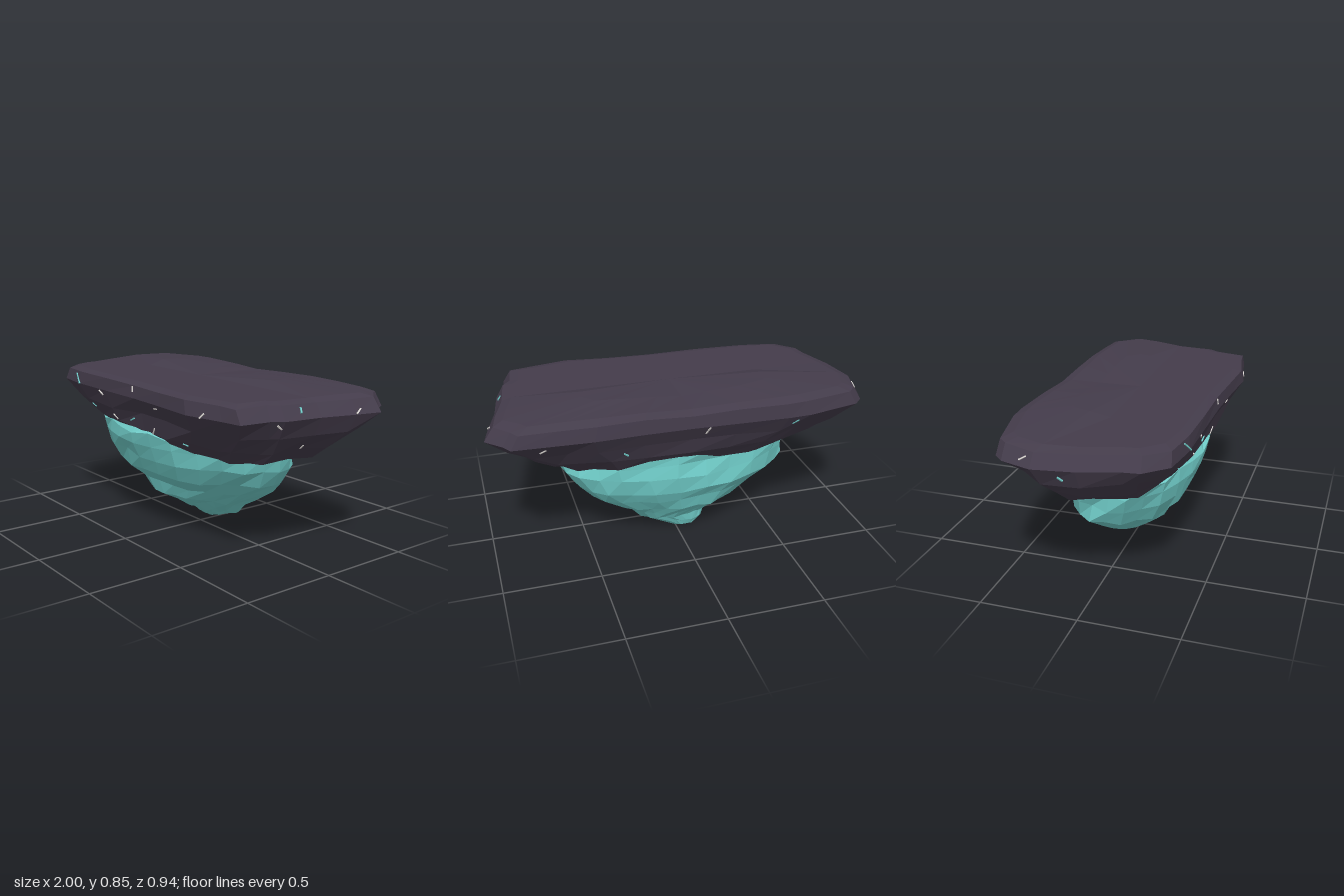
import * as THREE from 'three';

const rock = new THREE.MeshStandardMaterial({ color: 0x443c4b, flatShading: true });
rock.name = 'darkStone';
const crystal = new THREE.MeshStandardMaterial({ color: 0x72d0cc, flatShading: true });
crystal.name = 'tealCrystal';
const pale = new THREE.MeshStandardMaterial({ color: 0xd8d4d0, flatShading: true });
pale.name = 'paleMineral';

// repeatable noise in -1..1
function noise(a, b) {
  const s = Math.sin(a * 127.1 + b * 311.7) * 43758.5453;
  return (s - Math.floor(s)) * 2 - 1;
}

// joins closed rings (listed from top to bottom) and caps both ends
function loft(rings, topPoint, bottomPoint) {
  const n = rings[0].length, pos = [], idx = [];
  rings.forEach(r => r.forEach(p => pos.push(p.x, p.y, p.z)));
  const top = rings.length * n, last = top - n;
  pos.push(...topPoint, ...bottomPoint);
  for (let i = 0; i < n; i++) {
    const j = (i + 1) % n;
    for (let k = 0; k < rings.length - 1; k++) {
      const a = k * n + i, b = k * n + j;
      idx.push(a, b, b + n, a, b + n, a + n);
    }
    idx.push(top, j, i, top + 1, last + i, last + j);
  }
  const g = new THREE.BufferGeometry();
  g.setAttribute('position', new THREE.Float32BufferAttribute(pos, 3));
  g.setIndex(idx);
  const flat = g.toNonIndexed();
  flat.computeVertexNormals();
  return flat;
}

// slab outline at its widest, x and z, starting at the back left corner
const outline = [
  [-0.9, -0.41], [-0.62, -0.47], [-0.5, -0.475], [-0.25, -0.465], [0, -0.455], [0.25, -0.453],
  [0.5, -0.46], [0.7, -0.45], [0.89, -0.44], [0.92, -0.39], [1, -0.31], [0.97, -0.18],
  [0.92, 0], [0.89, 0.2], [0.85, 0.25], [0.83, 0.41], [0.72, 0.425], [0.5, 0.467],
  [0.25, 0.445], [0, 0.43], [-0.3, 0.425], [-0.6, 0.42], [-0.8, 0.39], [-0.9, 0.28],
  [-0.91, 0.2], [-0.97, 0], [-1, -0.2], [-0.95, -0.36]
];
// height, x scale, z scale, roughness, swell of the rear half, rounding of the corners
const slabLevels = [
  [0.825, 0.5, 0.5, 0, 0.026, 0], [0.825, 0.9, 0.87, 0, 0.014, 0],
  [0.812, 0.955, 0.985, 0.003, 0.008, 0], [0.745, 1, 1, 0, 0, 0],
  [0.655, 0.945, 0.91, 0.01, 0, 0.07], [0.565, 0.86, 0.82, 0.012, 0, 0.14],
  [0.495, 0.76, 0.68, 0.012, 0, 0.18], [0.5, 0.45, 0.4, 0.01, 0, 0.15]
];

function slabRings() {
  return slabLevels.map(([y, sx, sz, r, swell, round], k) => outline.map(([x, z], i) => {
    const rise = z < -0.1 ? swell * Math.abs(Math.sin(x * sx * Math.PI)) : 0;
    const corner = 1 - round * Math.max(0, Math.abs(x * z) / 0.37 - 0.45) / 0.55;
    return new THREE.Vector3(
      x * sx * corner + r * noise(i, k), y + rise + r * noise(i + 40, k),
      z * sz * corner + r * noise(i + 80, k));
  }));
}

// height, xmin, xmax, zmin, zmax of the hanging crystal
const crystalLevels = [
  [0.61, -0.58, 0.54, -0.335, 0.34], [0.55, -0.68, 0.62, -0.35, 0.38],
  [0.49, -0.69, 0.63, -0.35, 0.37], [0.41, -0.67, 0.61, -0.355, 0.335],
  [0.32, -0.65, 0.55, -0.335, 0.3], [0.25, -0.53, 0.46, -0.305, 0.21],
  [0.18, -0.41, 0.32, -0.275, 0.19], [0.14, -0.31, 0.26, -0.23, 0.12],
  [0.085, -0.19, 0.2, -0.195, 0.03], [0.045, -0.17, 0.1, -0.182, -0.03],
  [0.01, -0.12, 0.02, -0.17, -0.08]
];

function crystalRings() {
  const n = 26;
  return crystalLevels.map(([y, x0, x1, z0, z1], k) => {
    // slightly skewed ellipse with lumps
    const lumpy = Array.from({ length: n }, (_, i) => {
      const a = i / n * Math.PI * 2;
      const r = 1 + 0.03 * noise(i, k + 9) + 0.02 * Math.sin(a * 5 + k * 0.7);
      const lift = y > 0.02 ? 0.012 * noise(i + 30, k) : 0.004 * noise(i, 3);
      return new THREE.Vector3(
        Math.cos(a) * r, y + lift, (Math.sin(a) - 0.1 * Math.cos(a)) * r);
    });
    // fit the loop exactly between its limits
    const { min, max } = new THREE.Box3().setFromPoints(lumpy);
    return lumpy.map(p => new THREE.Vector3(
      THREE.MathUtils.mapLinear(p.x, min.x, max.x, x0, x1), p.y,
      THREE.MathUtils.mapLinear(p.z, min.z, max.z, z0, z1)));
  });
}

// small mineral vein lying on one facet of the slab
function vein(rings, k, i, u, v, length, slant, material) {
  const j = (i + 1) % outline.length;
  const [a, b, c, d] = [rings[k][i], rings[k][j], rings[k + 1][j], rings[k + 1][i]];
  const p = a.clone().lerp(b, u).lerp(d.clone().lerp(c, u), v);
  const out = b.clone().sub(a).cross(d.clone().sub(a)).normalize();
  const across = b.clone().sub(a).normalize();
  const along = across.clone().addScaledVector(out.clone().cross(across), slant).normalize();
  const mesh = new THREE.Mesh(new THREE.BoxGeometry(length, 0.007, 0.009), material);
  mesh.quaternion.setFromRotationMatrix(
    new THREE.Matrix4().makeBasis(along, out.clone().cross(along), out));
  mesh.position.copy(p);
  mesh.name = 'mineralVein';
  return mesh;
}

export function createModel() {
  const group = new THREE.Group();
  group.name = 'floatingRock';

  const rings = slabRings();
  const slab = new THREE.Mesh(loft(rings, [0, 0.827, 0], [0, 0.5, 0]), rock);
  slab.name = 'stoneSlab';

  const base = new THREE.Mesh(loft(crystalRings(), [0, 0.61, 0], [-0.05, 0, -0.11]), crystal);
  base.name = 'hangingCrystal';
  group.add(slab, base);

  // veins: level, facet, position across and down, length, slant, colour
  const veins = new THREE.Group();
  veins.name = 'mineralVeins';
  [
    [2, 21, 0.1, 0.6, 0.08, -0.9, crystal], [4, 21, 0.05, 0.4, 0.035, -0.8, crystal],
    [3, 20, 0.18, 0.2, 0.04, -0.7, pale], [4, 20, 0.05, 0.7, 0.04, -0.7, pale],
    [4, 19, 0.37, 0.5, 0.04, 0.4, crystal], [2, 19, 0.07, 0.3, 0.03, -5, pale],
    [4, 18, 0.54, 0.8, 0.045, 1.2, pale], [3, 18, 0.2, 0.28, 0.03, 0.2, pale],
    [5, 17, 0.28, 0.2, 0.03, -0.6, crystal], [2, 16, 0.53, 0.85, 0.035, 1, pale],
    [2, 10, 0.9, 0.8, 0.04, 0.8, pale], [2, 12, 0.5, 0.4, 0.03, 9, crystal],
    [3, 13, 0.3, 0.3, 0.03, -1.2, pale], [4, 12, 0.05, 0.85, 0.03, 6, pale],
    [2, 26, 0.3, 0.5, 0.04, 0.8, pale], [3, 25, 0.4, 0.5, 0.03, -1, crystal],
    [3, 1, 0.5, 0.4, 0.04, 1, crystal], [3, 3, 0.7, 0.3, 0.05, 3, pale],
    [4, 5, 0.5, 0.5, 0.03, -1, crystal], [3, 7, 0.4, 0.4, 0.04, 1, pale]
  ].forEach(v => veins.add(vein(rings, ...v)));
  group.add(veins);
  return group;
}
